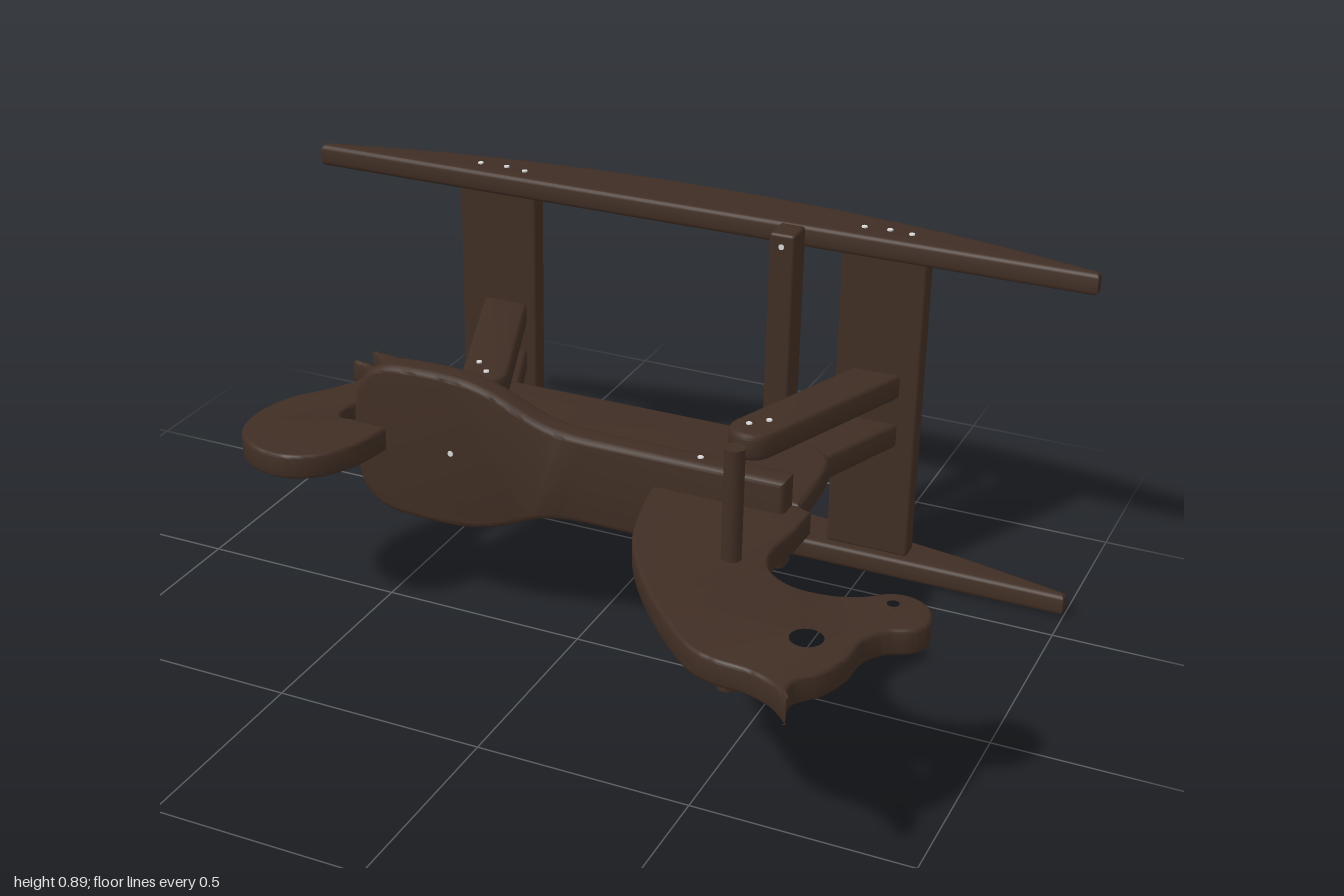
import * as THREE from 'three';
import { toCreasedNormals } from 'three/addons/utils/BufferGeometryUtils.js';
import { RoundedBoxGeometry } from 'three/addons/geometries/RoundedBoxGeometry.js';

const MID = 0.445; // height of the symmetry plane
const THICK = 0.06;

export function createModel() {
  const model = new THREE.Group();
  model.name = 'rockingHorse';
  const wood = new THREE.MeshStandardMaterial({ color: 0x402e24 });
  wood.name = 'dark wood';
  const steel = new THREE.MeshStandardMaterial({ color: 0xd8d8d8 });
  steel.name = 'screw steel';

  const add = (name, geometry, material = wood) => {
    const mesh = new THREE.Mesh(geometry, material);
    mesh.name = name;
    model.add(mesh);
    return mesh;
  };

  // Closed outline from smooth runs that meet at sharp corners
  const outline = (...runs) => {
    const pts = [];
    for (const run of runs) {
      const v = run.map(([x, y]) => new THREE.Vector2(x, y));
      const smooth = v.length > 2 ? new THREE.SplineCurve(v).getPoints((v.length - 1) * 6) : v;
      for (const p of smooth) {
        if (!pts.length || p.distanceTo(pts[pts.length - 1]) > 1e-4) pts.push(p);
      }
    }
    if (pts[0].distanceTo(pts[pts.length - 1]) < 1e-4) pts.pop();
    return new THREE.Shape(pts);
  };

  // Rounded board centred on its own thickness
  const board = (shape, thick, bevel = 0.012) => {
    const g = new THREE.ExtrudeGeometry(shape, {
      depth: thick - 2 * bevel, bevelThickness: bevel, bevelSize: bevel,
      bevelOffset: -bevel, bevelSegments: 3, curveSegments: 20,
    });
    g.translate(0, 0, bevel - thick / 2);
    return toCreasedNormals(g, 0.6);
  };

  // Board whose outline lies in the x/z plane
  const sideBoard = (name, shape, thick, y, bevel) =>
    add(name, board(shape, thick, bevel).rotateX(Math.PI / 2).translate(0, y, 0));

  // Body panel
  sideBoard('bodyPanel', outline(
    [[-0.55, -0.01], [-0.53, -0.12], [-0.505, -0.23], [-0.46, -0.295], [-0.38, -0.315]],
    [[-0.38, -0.315], [0.38, -0.32]],
    [[0.38, -0.32], [0.46, -0.3], [0.51, -0.25], [0.525, -0.15], [0.53, -0.01]],
  ), THICK, MID);

  // Seat, wide at the back and narrow at the neck
  const half = [[-0.557, 0], [-0.553, 0.08], [-0.53, 0.145], [-0.48, 0.182], [-0.4, 0.192], [-0.28, 0.19],
    [-0.19, 0.17], [-0.09, 0.128], [-0.03, 0.112], [0.04, 0.107]];
  const seat = outline(
    half.map(([x, y]) => [x, MID + y]),
    [[0.515, MID + 0.107], [0.515, MID - 0.107]],
    half.map(([x, y]) => [x, MID - y]).reverse(),
  );
  add('seat', board(seat, 0.065, 0.015).translate(0, 0, 0.014));

  // Head and neck with eye and mouth holes
  const head = outline(
    [[0.53, -0.01], [0.2, -0.01]],
    [[0.205, 0.04], [0.22, 0.13], [0.255, 0.26], [0.32, 0.38], [0.42, 0.51], [0.53, 0.62], [0.6, 0.652],
      [0.68, 0.66], [0.74, 0.685], [0.785, 0.727]],
    [[0.785, 0.727], [0.772, 0.66], [0.815, 0.6], [0.838, 0.53], [0.842, 0.46], [0.87, 0.41], [0.92, 0.38],
      [0.94, 0.34], [0.925, 0.285], [0.88, 0.255], [0.83, 0.26], [0.785, 0.295], [0.72, 0.32], [0.64, 0.318],
      [0.575, 0.275], [0.55, 0.2], [0.56, 0.1], [0.563, 0.005]],
  );
  for (const [x, z, r] of [[0.74, 0.5, 0.043], [0.85, 0.3, 0.021]]) {
    head.holes.push(new THREE.Path().absarc(x, z, r, 0, Math.PI * 2, true));
  }
  sideBoard('head', head, THICK, MID, 0.008);

  // Curled, forked tail
  sideBoard('tail', outline(
    [[-0.468, 0.03], [-0.49, 0.15], [-0.54, 0.235], [-0.62, 0.273], [-0.71, 0.253], [-0.77, 0.19],
      [-0.785, 0.1], [-0.76, 0], [-0.705, -0.08], [-0.665, -0.15], [-0.66, -0.2], [-0.685, -0.232], [-0.73, -0.247]],
    [[-0.73, -0.247], [-0.69, -0.253], [-0.65, -0.232]],
    [[-0.65, -0.232], [-0.67, -0.28], [-0.715, -0.315]],
    [[-0.715, -0.315], [-0.66, -0.318], [-0.6, -0.295], [-0.56, -0.22], [-0.572, -0.11], [-0.605, -0.02],
      [-0.597, 0.035], [-0.56, 0.035]],
  ), THICK, MID, 0.008);

  // Handle dowel through the neck
  add('handle', new THREE.CylinderGeometry(0.022, 0.022, 0.575, 24)).position.set(0.485, MID, 0.268);

  // Four slanted legs, a pair on each side of the body
  for (const s of [-1, 1]) {
    const tilt = 0.357, r = 0.056, pts = [];
    for (let i = 0; i <= 16; i++) {
      const a = tilt + (Math.PI * i) / 16;
      pts.push(new THREE.Vector2(s * (0.342 + r * Math.cos(a)), -0.207 + r * Math.sin(a)));
    }
    pts.push(new THREE.Vector2(s * 0.436, -0.61), new THREE.Vector2(s * 0.553, -0.61));
    for (const side of [-1, 1]) {
      sideBoard(s > 0 ? 'frontLeg' : 'backLeg', new THREE.Shape(pts), 0.065, MID + side * 0.064);
    }
  }

  // Rockers
  for (const side of [-1, 1]) {
    sideBoard('rocker', outline(
      [[-0.998, -0.577], [0.998, -0.587]],
      [[1, -0.61], [0.75, -0.667], [0.5, -0.705], [0.25, -0.728], [0, -0.736],
        [-0.25, -0.728], [-0.5, -0.705], [-0.75, -0.664], [-1, -0.606]],
    ), 0.055, MID + side * 0.412);
  }

  // Planks between the rockers and the foot rest on top of them
  for (const x of [-0.513, 0.495]) {
    add('crossPlank', new RoundedBoxGeometry(0.208, 0.775, 0.05, 3, 0.008)).position.set(x, MID, -0.634);
  }
  add('footRest', new RoundedBoxGeometry(0.063, 0.882, 0.075, 3, 0.008)).position.set(0.28, MID, -0.542);

  // Screw heads on the sides: [x, z, distance from the symmetry plane]
  const screw = new THREE.CylinderGeometry(0.007, 0.007, 0.006, 10);
  const sideScrews = [[-0.57, -0.632, 0.44], [-0.5, -0.636, 0.44], [-0.445, -0.626, 0.44],
    [0.435, -0.634, 0.44], [0.495, -0.64, 0.44], [0.55, -0.634, 0.44],
    [-0.375, -0.24, 0.097], [-0.335, -0.2, 0.097], [0.33, -0.21, 0.097], [0.365, -0.245, 0.097],
    [0.305, 0.012, 0.107], [0.4, 0.012, 0.107]];
  for (const [x, z, d] of sideScrews) {
    for (const side of [-1, 1]) add('screw', screw, steel).position.set(x, MID + side * d, z);
  }
  // Screw heads on the seat and foot rest
  for (const [x, y, z] of [[-0.3, MID, 0.046], [0.28, 0.855, -0.505], [0.28, 0.035, -0.505]]) {
    const m = add('screw', screw, steel);
    m.rotation.x = Math.PI / 2;
    m.position.set(x, y, z);
  }
  return model;
}
